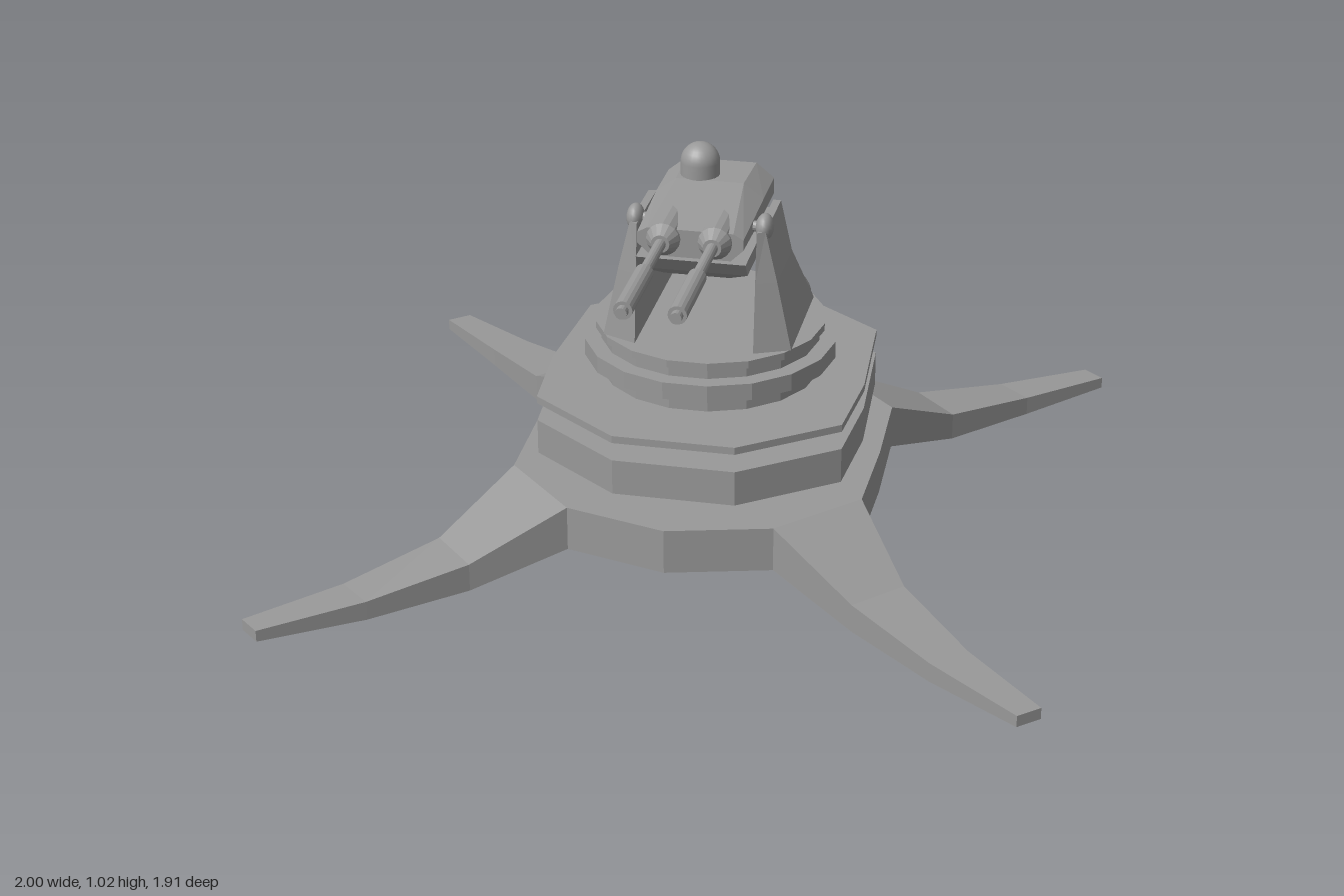
import * as THREE from 'three';

const material = new THREE.MeshStandardMaterial({ color: 0x999999, flatShading: true });
const smooth = new THREE.MeshStandardMaterial({ color: 0x999999 });

function add(parent, name, geometry, x = 0, y = 0, z = 0, mat = material) {
  const mesh = new THREE.Mesh(geometry, mat);
  mesh.name = name;
  mesh.position.set(x, y, z);
  parent.add(mesh);
  return mesh;
}

// Closed solid through cross-sections that share a point count; faces outward.
function loft(rings) {
  const tris = [];
  const n = rings[0].length;
  for (let r = 0; r < rings.length - 1; r++) {
    for (let i = 0; i < n; i++) {
      const j = (i + 1) % n;
      const [a, b, c, d] = [rings[r][i], rings[r][j], rings[r + 1][j], rings[r + 1][i]];
      tris.push([a, b, c], [a, c, d]);
    }
  }
  const last = rings[rings.length - 1];
  for (let i = 1; i < n - 1; i++) {
    tris.push([rings[0][0], rings[0][i + 1], rings[0][i]], [last[0], last[i], last[i + 1]]);
  }
  // Signed volume tells whether the winding must be reversed
  let volume = 0;
  for (const [a, b, c] of tris) {
    volume += new THREE.Vector3(...a).dot(new THREE.Vector3(...b).cross(new THREE.Vector3(...c)));
  }
  if (volume < 0) tris.forEach((t) => t.reverse());
  const geometry = new THREE.BufferGeometry();
  geometry.setAttribute('position', new THREE.Float32BufferAttribute(tris.flat(2), 3));
  geometry.computeVertexNormals();
  return geometry;
}

// Upright prism from an outline of [x, z] points
const prism = (outline, y0, y1) => loft([y0, y1].map((y) => outline.map(([x, z]) => [x, y, z])));

// Mirrors the right half of an outline across x = 0
const mirrored = (half) => [
  ...half,
  ...half.filter(([x]) => x !== 0).reverse().map(([x, z]) => [-x, z]),
];

// Cylinder lying along z between z0 and z1
function barrel(r0, r1, z0, z1) {
  return new THREE.CylinderGeometry(r1, r0, z1 - z0, 16)
    .rotateX(Math.PI / 2).translate(0, 0, (z0 + z1) / 2);
}

// Short upright post capped by a hemisphere
function dome(radius, post) {
  const points = [new THREE.Vector2(radius, 0)];
  for (let i = 0; i <= 8; i++) {
    const a = (i / 8) * Math.PI / 2;
    points.push(new THREE.Vector2(i === 8 ? 0 : radius * Math.cos(a), post + radius * Math.sin(a)));
  }
  return new THREE.LatheGeometry(points, 24);
}

export function createModel() {
  const model = new THREE.Group();
  model.name = 'turret';

  // Base hub
  const hub = mirrored([[0, 0.54], [0.27, 0.47], [0.465, 0.27], [0.472, 0],
    [0.465, -0.27], [0.27, -0.47], [0, -0.53]]);
  add(model, 'baseHub', prism(hub, 0.082, 0.203));

  // Four splayed legs: outer x/z, inner x/z, bottom, top
  const legSections = [
    [0.465, 0.27, 0.27, 0.47, 0.082, 0.203],
    [0.61, 0.49, 0.495, 0.61, 0.011, 0.087],
    [0.8, 0.71, 0.715, 0.785, 0, 0.052],
    [1, 0.91, 0.947, 0.957, 0.009, 0.04],
  ];
  for (const sx of [1, -1]) {
    for (const sz of [1, -1]) {
      add(model, 'leg', loft(legSections.map(([ox, oz, ix, iz, lo, hi]) => [
        [sx * ox, lo, sz * oz], [sx * ox, hi, sz * oz],
        [sx * ix, hi, sz * iz], [sx * ix, lo, sz * iz],
      ])));
    }
  }

  // Faceted deck: thick slab with a thin plate above
  const deck = mirrored([[0.16, 0.425], [0.405, 0.243], [0.425, 0], [0.405, -0.345], [0.16, -0.53]]);
  add(model, 'deckSlab', prism(deck, 0.233, 0.329));
  add(model, 'deckPlate', prism(deck, 0.379, 0.399));

  // Rotating drum with flanges
  const rings = [
    ['drum', 0.294, 0.329, 0.523], ['drumFlange', 0.338, 0.446, 0.493], ['drumCap', 0.308, 0.523, 0.543],
  ];
  for (const [name, r, y0, y1] of rings) {
    const disc = new THREE.CylinderGeometry(r, r, y1 - y0, 18).rotateY(Math.PI / 2);
    add(model, name, disc, 0, (y0 + y1) / 2, -0.05);
  }

  // Rear sensor domes
  for (const x of [-0.138, 0.13]) add(model, 'rearDome', dome(0.075, 0.039), x, 0.399, -0.443, smooth);

  // Yoke arms: height, inner back/front z, outer x, outer back/front z
  const armSections = [
    [0.543, -0.29, 0.17, 0.25, -0.215, 0.13],
    [0.731, -0.18, 0.148, 0.21, -0.09, 0.125],
    [0.865, -0.1, 0.132, 0.178, -0.098, 0.12],
  ];
  for (const s of [1, -1]) {
    add(model, 'yokeArm', loft(armSections.map(([y, ib, f, x, ob, of]) => [
      [s * 0.157, y, ib], [s * 0.157, y, f], [s * x, y, of], [s * x, y, ob],
    ])));
    // Rounded pivot cap
    const pivot = new THREE.SphereGeometry(0.036, 16, 12).scale(0.65, 1, 1);
    add(model, 'pivot', pivot, s * 0.17, 0.866, 0.087, smooth);
  }
  add(model, 'pivotAxle', new THREE.CylinderGeometry(0.014, 0.014, 0.32, 12).rotateZ(Math.PI / 2), 0, 0.866, 0.087);

  // Gun head with chamfered top, sloping down to the front
  const head = new THREE.Group();
  head.name = 'gunHead';
  model.add(head);
  const headRing = (z, w, topW, top, shoulder) => mirrored([
    [topW, top], [w, shoulder], [w, 0.848], [0.105, 0.816],
  ]).map(([x, y]) => [x, y, z]);
  add(head, 'headBody', loft([
    headRing(-0.187, 0.143, 0.095, 0.93, 0.891),
    headRing(-0.037, 0.143, 0.09, 0.93, 0.891),
    headRing(0.21, 0.138, 0.112, 0.891, 0.876),
  ]));
  add(head, 'headNeck', new THREE.BoxGeometry(0.2, 0.03, 0.28), 0, 0.808, 0.01);

  // Lower block tapering to a smaller underside
  const block = (y, w, back, front) => [[w, y, back], [w, y, front], [-w, y, front], [-w, y, back]];
  add(head, 'lowerBlock', loft([
    block(0.806, 0.143, -0.187, 0.207),
    block(0.766, 0.143, -0.187, 0.18),
    block(0.731, 0.086, -0.12, 0.125),
  ]));
  add(head, 'headDome', dome(0.052, 0.039), -0.035, 0.926, -0.083, smooth);

  // Twin guns: rear radius, front radius, start, end
  const gunParts = [
    ['gunSocket', 0.044, 0.044, 0.06, 0.218], ['gunCollar', 0.044, 0.024, 0.218, 0.25],
    ['gunBarrel', 0.015, 0.015, 0.25, 0.43], ['gunSleeve', 0.024, 0.024, 0.43, 0.66],
    ['gunMuzzle', 0.015, 0.015, 0.66, 0.68],
  ];
  for (const x of [-0.069, 0.065]) {
    for (const [name, r0, r1, z0, z1] of gunParts) add(head, name, barrel(r0, r1, z0, z1), x, 0.865, 0);
  }
  return model;
}
